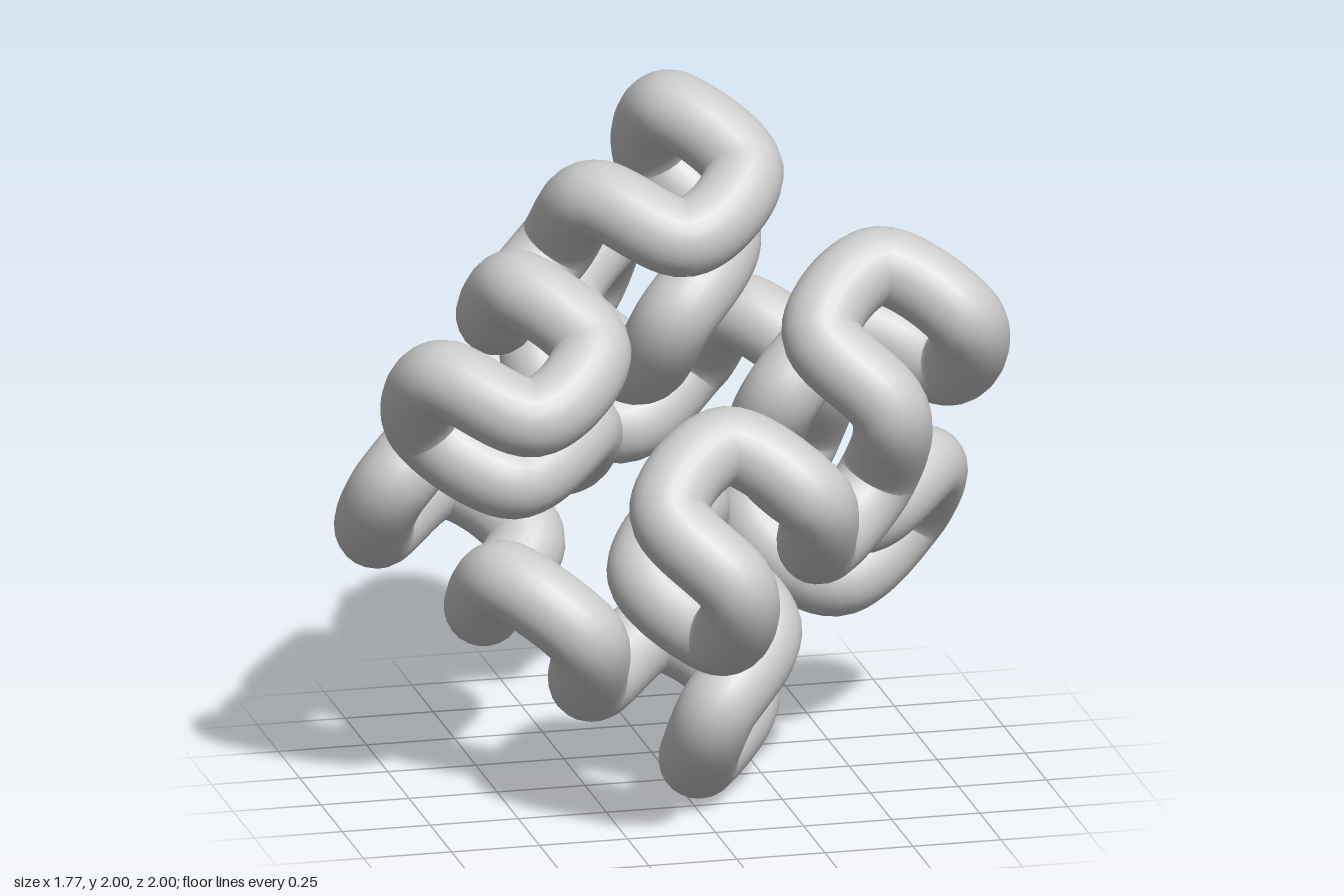
import * as THREE from 'three';

const STEP = 0.3685;    // spacing of the 4 x 4 x 4 lattice
const RADIUS = 0.11;    // tube radius
const ROUNDING = 0.25;  // how far each corner is drawn in towards its neighbours

// Lattice cell (a, b, c in 0..3) to space: the cube is turned 45 degrees about two axes
function place([a, b, c]) {
  const x = (a - b) * STEP / Math.SQRT2;
  const p = (a + b - 3) * STEP / Math.SQRT2;
  const q = (c - 1.5) * STEP;
  return new THREE.Vector3(x, 1 + (p + q) / Math.SQRT2, (q - p) / Math.SQRT2);
}

// Pull a point towards the middle of its two neighbours on the closed path
function soften(point, i, all) {
  const n = all.length;
  const middle = all[(i + n - 1) % n].clone().add(all[(i + 1) % n]).multiplyScalar(0.5);
  return point.clone().lerp(middle, ROUNDING);
}

export function createModel() {
  const group = new THREE.Group();
  group.name = 'spaceFillingLoop';

  // One quarter of the loop: two neighbouring octants of the cube
  const quarter = [
    [2, 2, 2], [3, 2, 2], [3, 3, 2], [3, 3, 3], [3, 2, 3], [2, 2, 3], [2, 3, 3], [2, 3, 2],
    [1, 3, 2], [1, 3, 3], [1, 2, 3], [0, 2, 3], [0, 3, 3], [0, 3, 2], [0, 2, 2], [1, 2, 2],
  ];

  // Half turns of the quarter complete the closed path
  const below = quarter.map(([a, b, c]) => [3 - b, 3 - a, 3 - c]).reverse();
  const half = [...quarter, ...below];
  const opposite = half.map(([a, b, c]) => [3 - a, 3 - b, c]);
  const points = [...half, ...opposite].map(place).map(soften);

  // Smooth closed tube through all 64 cells
  const curve = new THREE.CatmullRomCurve3(points, true, 'catmullrom', 0.5);
  curve.arcLengthDivisions = 2000;
  const tube = new THREE.Mesh(
    new THREE.TubeGeometry(curve, 960, RADIUS, 24, true),
    new THREE.MeshStandardMaterial({ color: 0xcccccc })
  );
  tube.name = 'windingTube';
  group.add(tube);
  return group;
}
